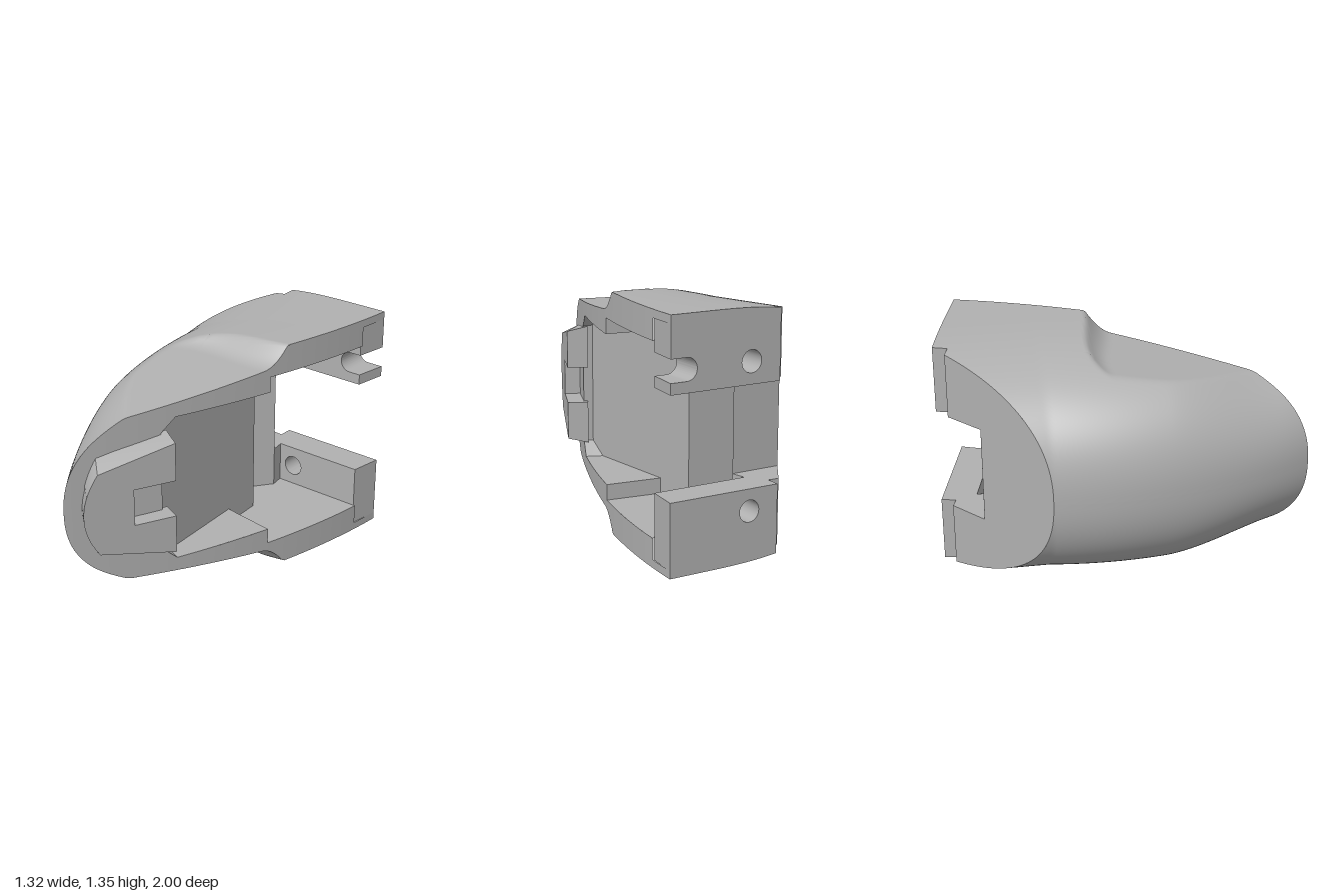
import * as THREE from 'three';
import { toCreasedNormals } from 'three/addons/utils/BufferGeometryUtils.js';

const MID = 0.675; // height of the mirror plane
const grey = new THREE.MeshStandardMaterial({ color: 0xb0b0b0, side: THREE.DoubleSide });
grey.name = 'housing grey';

// Plan curves: rounded outer side and the slanted open side
const outerX = (z) => -0.663 + 0.263 * ((z + 0.08) / 1.08) ** 2;
const cutX = (z) => 0.66 - 0.576 * (z + 0.84) + 0.15 * (z + 0.84) * (1 - z);
const { clamp, lerp, smoothstep } = THREE.MathUtils;

// Half height of the shell at a plan point, with the side scallop taken off
function halfHeight(x, z) {
  const d = clamp((x - outerX(Math.max(z, -0.44))) / 1.1, 0, 1);
  const scale = 1 - 0.17 * smoothstep(z, 0.2, 0.85);
  const body = MID * scale * (1 - (1 - d) ** 3) ** 0.435;
  const start = 0.02 - 0.09 * (1 - smoothstep(x, -0.2, 0.36));
  const scallop = 0.475 + 0.112 * (0.76 - z) + 5 * Math.max(0, start - z) ** 2;
  const blend = Math.max(0, 0.012 - Math.abs(body - scallop));
  return Math.min(body, scallop) - blend ** 2 / 0.048;
}

// Rear edge in plan: slanted back, small notch, back of the arms
const BACK_X = outerX(-0.44);
const REAR = [[0.6, -0.06, -0.94], [0.65, 0, -0.92], [0.7, 0.02, -1], [1, 0.66, -0.84]];
function rear(t) {
  if (t <= 0.6) {
    const k = (t / 0.6) ** 2;
    return [lerp(BACK_X, -0.06, k), lerp(-0.44, -0.94, k)];
  }
  let i = 0;
  while (i < 2 && t > REAR[i + 1][0] + 1e-9) i++;
  const [a, b] = [REAR[i], REAR[i + 1]], k = (t - a[0]) / (b[0] - a[0]);
  return [lerp(a[1], b[1], k), lerp(a[2], b[2], k)];
}

// Grid surface from fn(u, v) -> [x, y, z]
function grid(fn, nu, nv) {
  const pos = [], idx = [];
  for (let j = 0; j <= nv; j++) for (let i = 0; i <= nu; i++) pos.push(...fn(i / nu, j / nv));
  for (let j = 0; j < nv; j++) for (let i = 0; i < nu; i++) {
    const a = j * (nu + 1) + i, b = a + 1, c = a + nu + 1, d = c + 1;
    idx.push(a, c, b, b, c, d);
  }
  const g = new THREE.BufferGeometry();
  g.setAttribute('position', new THREE.Float32BufferAttribute(pos, 3));
  g.setIndex(idx);
  g.computeVertexNormals();
  return g;
}

export function createModel() {
  const group = new THREE.Group();
  function add(name, geometry) {
    const mesh = new THREE.Mesh(geometry, grey);
    mesh.name = name;
    group.add(mesh);
    return mesh;
  }

  // Upright strip over a plan path, mirrored above and below the middle
  function wall(name, path, lo, hi, n = 1) {
    const at = (f, x, z, t) => (typeof f === 'function' ? f(x, z, t) : f);
    for (const s of [1, -1]) {
      add(name, toCreasedNormals(grid((u, v) => {
        const [x, z] = path(u);
        return [x, MID + s * lerp(at(lo, x, z, u), at(hi, x, z, u), s > 0 ? v : 1 - v), z];
      }, n, 1), 0.5));
    }
  }
  const line = (a, b) => (t) => [lerp(a[0], b[0], t), lerp(a[1], b[1], t)];
  const cut = (z0, z1) => (t) => { const z = lerp(z0, z1, t); return [cutX(z), z]; };
  function walls(name, pts, lo, hi) {
    for (let i = 0; i + 1 < pts.length; i++) wall(name, line(pts[i], pts[i + 1]), lo, hi);
  }
  // Level plate, mirrored
  function level(name, pts, h) {
    const shape = new THREE.Shape(pts.map(([x, z]) => new THREE.Vector2(x, -z)));
    for (const s of [1, -1]) {
      const g = new THREE.ShapeGeometry(shape).rotateX(s > 0 ? Math.PI / 2 : -Math.PI / 2);
      if (s > 0) g.scale(1, 1, -1);
      add(name, g).position.y = MID + s * h;
    }
  }

  // Outer shell
  for (const s of [1, -1]) {
    add('outerShell', grid((u, v) => {
      const t = s > 0 ? u : 1 - u;
      const k = 1 - (1 - v) ** 1.6;
      const [rx, rz] = rear(t), w = (rx - BACK_X) / (0.66 - BACK_X);
      const lz = -0.44 + 1.44 * k, cz = -0.84 + 1.84 * k;
      const x = lerp(outerX(lz), cutX(cz), w);
      const z = lerp(lz, cz, w) + (1 - k) ** 2 * (rz - lerp(-0.44, -0.84, w));
      return [x, MID + s * halfHeight(x, z), z];
    }, 80, 160));
  }

  // Slanted back face around the rear gap, then the notch and arm edge
  const tGap = 0.6 * Math.sqrt((-0.245 - BACK_X) / (-0.06 - BACK_X));
  wall('backFace', (t) => rear(t * tGap), 0, halfHeight, 40);
  wall('backFace', (t) => rear(lerp(tGap, 0.6, t)), 0.275, halfHeight, 12);
  wall('backNotch', (t) => rear(lerp(0.6, 0.7, t)), 0.275, halfHeight, 2);
  wall('armBackEdge', (t) => rear(lerp(0.7, 1, t)), 0.63, halfHeight, 12);

  // Slanted open side, bordered by the cavity
  wall('openSideRim', cut(-0.84, -0.66), 0.63, halfHeight, 6);
  wall('openSideRim', cut(-0.66, -0.02), 0.515, halfHeight, 32);
  wall('openSideRim', cut(-0.02, 0.49), 0.425, halfHeight, 20);
  wall('openSideRim', cut(0.49, 0.56), (x, z, t) => lerp(0.425, 0.35, t), halfHeight, 4);
  wall('openSideFront', (t) => cut(0.56, 1)(1 - (1 - t) ** 2), 0, halfHeight, 40);

  // Cavity walls: raised floor panel, then a deeper trough before the back wall
  const F = [cutX(0.56), 0.56], E = [-0.1, 0.53], S = [0.008, -0.14], Q = [0.05, -0.395];
  const B = [-0.24, -0.463], G = [0.045, -0.71], A = [0.05, -0.795];
  const stepEdge = [cutX(-0.02), -0.02], gapOuter = [-0.245, -0.779];
  walls('cavityFrontWall', [F, E], 0, 0.35);
  walls('cavityFloor', [E, S], 0, 0.425);
  walls('cavityFloor', [S, Q], 0, 0.515);
  walls('cavityBackWall', [Q, B, G], 0, 0.515);
  walls('cavityBackWall', [G, A], 0.275, 0.515);
  walls('cavityStep', [stepEdge, S], 0.425, 0.515);
  walls('gapEnd', [G, gapOuter], 0, 0.275);

  // Sloped corners at the front of the cavity
  const chamferTop = [cutX(0.49), 0.49], chamferIn = [-0.084, 0.43];
  for (const s of [1, -1]) {
    add('cavityChamfer', grid((u, v) => {
      const t = s > 0 ? v : 1 - v;
      const p = line(line(chamferTop, chamferIn)(u), line(F, E)(u))(t);
      return [p[0], MID + s * lerp(0.425, 0.35, t), p[1]];
    }, 1, 1));
  }

  // Level faces above and below the cavity
  const rim = (z0, z1) => Array.from({ length: 13 }, (_, i) => cut(z0, z1)(i / 12));
  level('cavityFrontCeiling', [chamferIn, S, ...rim(-0.02, 0.49)], 0.425);
  level('cavityRearCeiling', [S, Q, B, G, A, ...rim(-0.66, -0.02)], 0.515);
  level('gapCeiling', [G, gapOuter, [-0.06, -0.94], [0, -0.92], [0.02, -1], A], 0.275);

  // Place an extrusion with its local x along a plan direction
  function place(mesh, dx, dz, x, z) {
    mesh.matrix.makeBasis(new THREE.Vector3(dx, 0, dz), new THREE.Vector3(0, 1, 0), new THREE.Vector3(-dz, 0, dx));
    mesh.matrix.setPosition(x, MID, z);
    mesh.matrix.decompose(mesh.position, mesh.quaternion, mesh.scale);
  }
  function bend(geometry, rule) {
    const p = geometry.attributes.position;
    for (let i = 0; i < p.count; i++) p.setXYZ(i, ...rule(p.getX(i), p.getY(i), p.getZ(i)));
    return toCreasedNormals(geometry, 0.5);
  }

  // Rear arms with a screw hole each; the upper one also has an open slot
  for (const s of [1, -1]) {
    const shape = new THREE.Shape();
    shape.moveTo(0, s * 0.275).lineTo(0.66, s * 0.275);
    if (s > 0) {
      shape.lineTo(0.66, 0.335).lineTo(0.565, 0.335);
      shape.absarc(0.565, 0.395, 0.06, -Math.PI / 2, Math.PI / 2, true);
      shape.lineTo(0.66, 0.455);
    }
    shape.lineTo(0.66, s * 0.635).lineTo(0, s * 0.635);
    const hole = new THREE.Path();
    hole.absarc(0.177, s * 0.395, 0.06, 0, Math.PI * 2, true);
    shape.holes.push(hole);
    const g = new THREE.ExtrudeGeometry(shape, { depth: 0.19, bevelEnabled: false, curveSegments: 20 });
    const arm = add(s > 0 ? 'upperArm' : 'lowerArm',
      bend(g, (x, y, z) => [x > 0.6 ? x - 0.13 * z : x, y, z]));
    place(arm, 0.97, 0.243, 0.02, -1);
  }

  // Notched tongue standing out from the front of the open side
  const tongue = new THREE.Shape();
  tongue.moveTo(0, 0.105).lineTo(0.24, 0.105).lineTo(0.24, -0.105).lineTo(0, -0.105);
  tongue.lineTo(0, -0.325).lineTo(0.44, -0.235);
  tongue.bezierCurveTo(0.5, -0.15, 0.525, -0.08, 0.525, 0);
  tongue.bezierCurveTo(0.525, 0.08, 0.5, 0.15, 0.44, 0.235);
  tongue.lineTo(0, 0.325);
  const tg = new THREE.ExtrudeGeometry(tongue, { depth: 0.12, bevelEnabled: false, curveSegments: 14 });
  const tongueMesh = add('frontTongue', bend(tg, (x, y, z) => [
    x > 0.3 ? x - 0.3 * z : x,
    Math.abs(y) > 0.11 ? y * (1 + z * (0.7 + 3.5 * x)) : y, z]));
  place(tongueMesh, -0.615, 0.788, 0.046, 0.59);

  return group;
}
